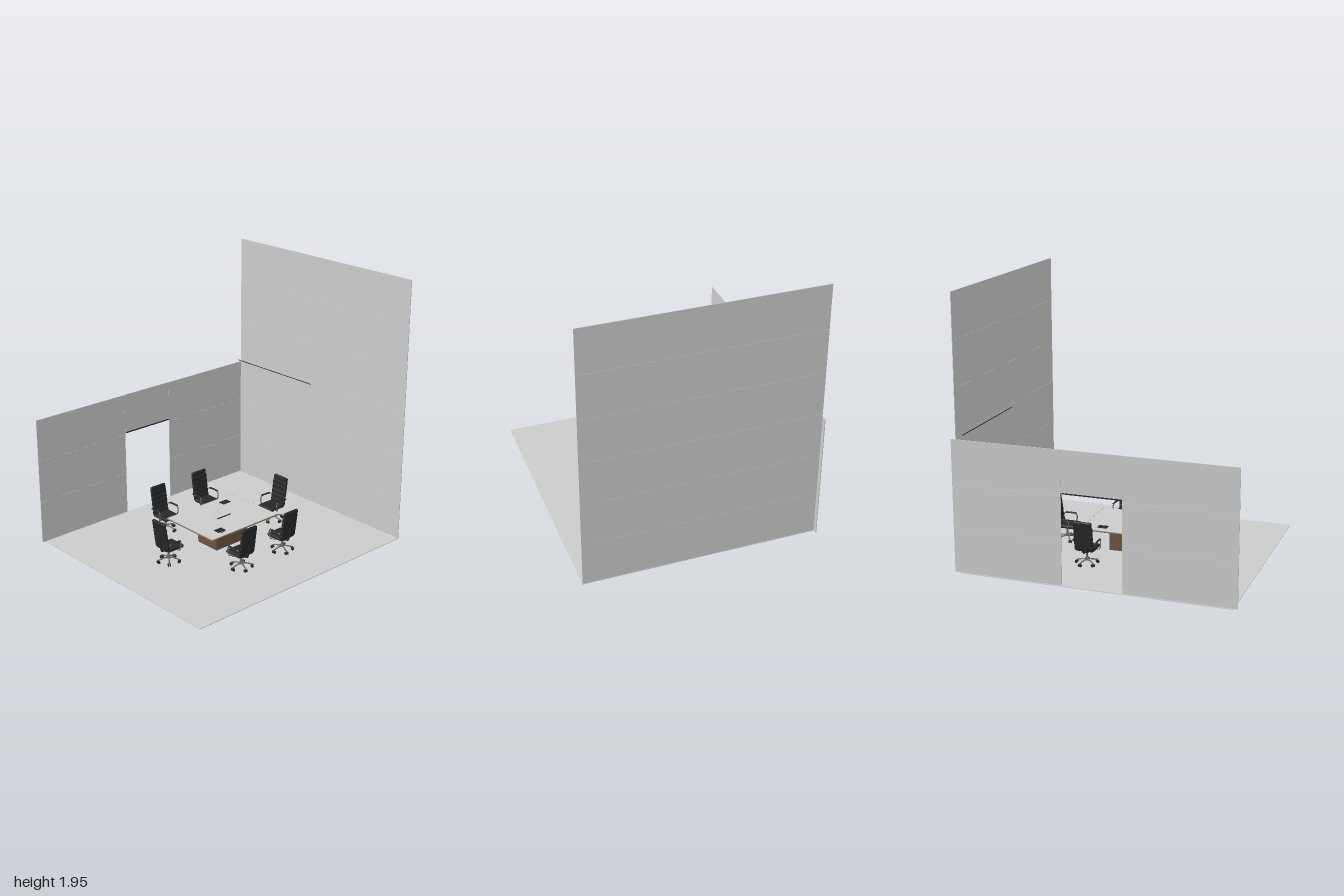
import * as THREE from 'three';
import { RoundedBoxGeometry } from 'three/addons/geometries/RoundedBoxGeometry.js';

const mat = (color) => new THREE.MeshStandardMaterial({ color });
const grey = mat(0xcccccc);
const black = mat(0x26282a);
const metal = mat(0x6a6c6e);
const wood = mat(0x6b5540);
const edgeWood = mat(0x8a7458);

function add(parent, name, geometry, material, x = 0, y = 0, z = 0) {
  const mesh = new THREE.Mesh(geometry, material);
  mesh.name = name;
  mesh.position.set(x, y, z);
  parent.add(mesh);
  return mesh;
}

// box given by its min and max corners
function span(parent, name, material, x0, x1, y0, y1, z0, z1) {
  return add(parent, name, new THREE.BoxGeometry(x1 - x0, y1 - y0, z1 - z0), material,
    (x0 + x1) / 2, (y0 + y1) / 2, (z0 + z1) / 2);
}

function tube(parent, name, points, radius, material) {
  const curve = new THREE.CatmullRomCurve3(points.map((p) => new THREE.Vector3(...p)), false, 'centripetal');
  return add(parent, name, new THREE.TubeGeometry(curve, 20, radius, 8), material);
}

function createRoom() {
  const room = new THREE.Group();
  room.name = 'room';
  span(room, 'floor', grey, -0.97, 0.967, 0, 0.004, -0.848, 0.848);

  const gap = 0.0008;
  // tall side wall of six stacked panels
  for (let i = 0; i < 6; i++) {
    const y0 = 0.006 + i * 0.324;
    span(room, 'sideWallPanel', grey, 0.963, 0.967, y0, y0 + 0.324 - gap, -0.842, 0.848);
  }
  // back wall: panels either side of the doorway and one above it
  const rows = [0.008, 0.325, 0.64, 0.955];
  for (const [x0, x1] of [[-1, -0.217], [0.212, 1]]) {
    for (let i = 0; i < 3; i++) {
      span(room, 'backWallPanel', grey, x0, x1, rows[i], rows[i + 1] - gap, -0.848, -0.843);
    }
  }
  span(room, 'doorHeaderPanel', grey, -0.217 + gap, 0.212 - gap, 0.66, 0.955, -0.848, -0.843);
  span(room, 'doorLintel', black, -0.208, 0.203, 0.653, 0.66, -0.854, -0.836);
  // slim rail along the side wall
  span(room, 'wallRail', black, 0.918, 0.922, 0.98, 0.984, -0.82, 0.03 - 0.06);
  return room;
}

function createTable() {
  const table = new THREE.Group();
  table.name = 'table';
  span(table, 'tableBase', wood, -0.15, 0.145, 0.004, 0.167, -0.1, 0.1);
  for (const x of [-0.12, 0.12]) for (const z of [-0.07, 0.07]) {
    add(table, 'tableSupport', new THREE.CylinderGeometry(0.006, 0.006, 0.024, 12), metal, x, 0.177, z);
  }
  add(table, 'tableEdge', new RoundedBoxGeometry(0.645, 0.01, 0.496, 2, 0.004), edgeWood, -0.003, 0.19, 0);
  span(table, 'tableTop', grey, -0.32, 0.314, 0.19, 0.196, -0.243, 0.243);
  // cable hatch in the middle
  span(table, 'cableHatch', grey, -0.066, 0.06, 0.195, 0.204, -0.019, 0.019);
  span(table, 'hatchSlot', black, -0.066, 0.06, 0.195, 0.2045, 0.0185, 0.02);
  // tablets with a pen next to one
  span(table, 'tablet', black, 0.136, 0.207, 0.196, 0.2, -0.188, -0.14);
  span(table, 'tablet', black, -0.213, -0.145, 0.196, 0.2, 0.14, 0.188);
  const pen = add(table, 'pen', new THREE.CylinderGeometry(0.002, 0.002, 0.05, 8), black, -0.178, 0.198, 0.2);
  pen.rotation.set(0, 0.12, Math.PI / 2);
  return table;
}

// office chair facing +z, centred on its column
function createChair() {
  const chair = new THREE.Group();
  chair.name = 'chair';

  // five-spoke base with twin casters
  for (let i = 0; i < 5; i++) {
    const spoke = new THREE.Group();
    spoke.name = 'baseSpoke';
    spoke.rotation.y = (i / 5) * Math.PI * 2 + 0.3;
    tube(spoke, 'spokeArm', [[0, 0.043, 0], [0, 0.038, 0.04], [0, 0.028, 0.078]], 0.005, metal);
    add(spoke, 'casterStem', new THREE.CylinderGeometry(0.003, 0.003, 0.02, 8), metal, 0, 0.022, 0.077);
    for (const s of [-1, 1]) {
      const wheel = add(spoke, 'casterWheel', new THREE.CylinderGeometry(0.011, 0.011, 0.008, 14), black,
        s * 0.007, 0.015, 0.077);
      wheel.rotation.z = Math.PI / 2;
    }
    chair.add(spoke);
  }
  add(chair, 'baseHub', new THREE.CylinderGeometry(0.011, 0.014, 0.022, 16), metal, 0, 0.045, 0);
  add(chair, 'gasColumn', new THREE.CylinderGeometry(0.007, 0.007, 0.06, 14), metal, 0, 0.08, 0);
  add(chair, 'tiltMechanism', new RoundedBoxGeometry(0.05, 0.014, 0.075, 2, 0.004), black, 0, 0.105, -0.005);
  tube(chair, 'heightLever', [[0.02, 0.104, 0.01], [0.05, 0.102, 0.02], [0.066, 0.099, 0.022]], 0.0025, black);

  // seat cushion with a rounded front
  add(chair, 'seat', new RoundedBoxGeometry(0.138, 0.024, 0.142, 4, 0.011), black, 0, 0.124, 0.015);

  // back of stacked pads following a leaning curve
  const backCurve = new THREE.CatmullRomCurve3([[0.125, -0.05], [0.18, -0.06], [0.25, -0.07], [0.338, -0.082]]
    .map(([y, z]) => new THREE.Vector3(0, y, z)));
  const pads = 6;
  for (let i = 0; i < pads; i++) {
    const p = backCurve.getPointAt((i + 0.5) / pads);
    const t = backCurve.getTangentAt((i + 0.5) / pads);
    const width = i === pads - 1 ? 0.132 : 0.14;
    const pad = add(chair, 'backPad', new RoundedBoxGeometry(width, 0.039, 0.02, 3, 0.009), black, p.x, p.y, p.z);
    pad.rotation.x = Math.atan2(t.z, t.y);
  }
  const shell = add(chair, 'backShell', new RoundedBoxGeometry(0.13, 0.2, 0.01, 3, 0.004), black, 0, 0.235, -0.074);
  shell.rotation.x = -0.14;
  tube(chair, 'backSpine', [[0, 0.103, -0.03], [0, 0.106, -0.06], [0, 0.13, -0.07], [0, 0.21, -0.079]], 0.006, black);

  // looped armrests
  for (const s of [-1, 1]) {
    tube(chair, 'armFrame', [[s * 0.05, 0.112, 0.03], [s * 0.082, 0.114, 0.032], [s * 0.086, 0.14, 0.042],
      [s * 0.086, 0.172, 0.042], [s * 0.086, 0.181, 0.03], [s * 0.086, 0.182, -0.03], [s * 0.08, 0.178, -0.06]],
      0.0045, metal);
    add(chair, 'armPad', new RoundedBoxGeometry(0.014, 0.008, 0.085, 2, 0.0035), black, s * 0.086, 0.186, -0.005);
  }
  return chair;
}

export function createModel() {
  const model = new THREE.Group();
  model.name = 'meetingRoom';
  model.add(createRoom(), createTable());

  // two chairs on each long side, one at each end
  const seats = [
    [-0.2, -0.41, 0], [0.2, -0.41, 0],
    [-0.2, 0.41, Math.PI], [0.2, 0.41, Math.PI],
    [-0.515, 0, Math.PI / 2], [0.51, 0, -Math.PI / 2],
  ];
  for (const [x, z, turn] of seats) {
    const chair = createChair();
    chair.position.set(x, 0, z);
    chair.rotation.y = turn;
    model.add(chair);
  }
  return model;
}
